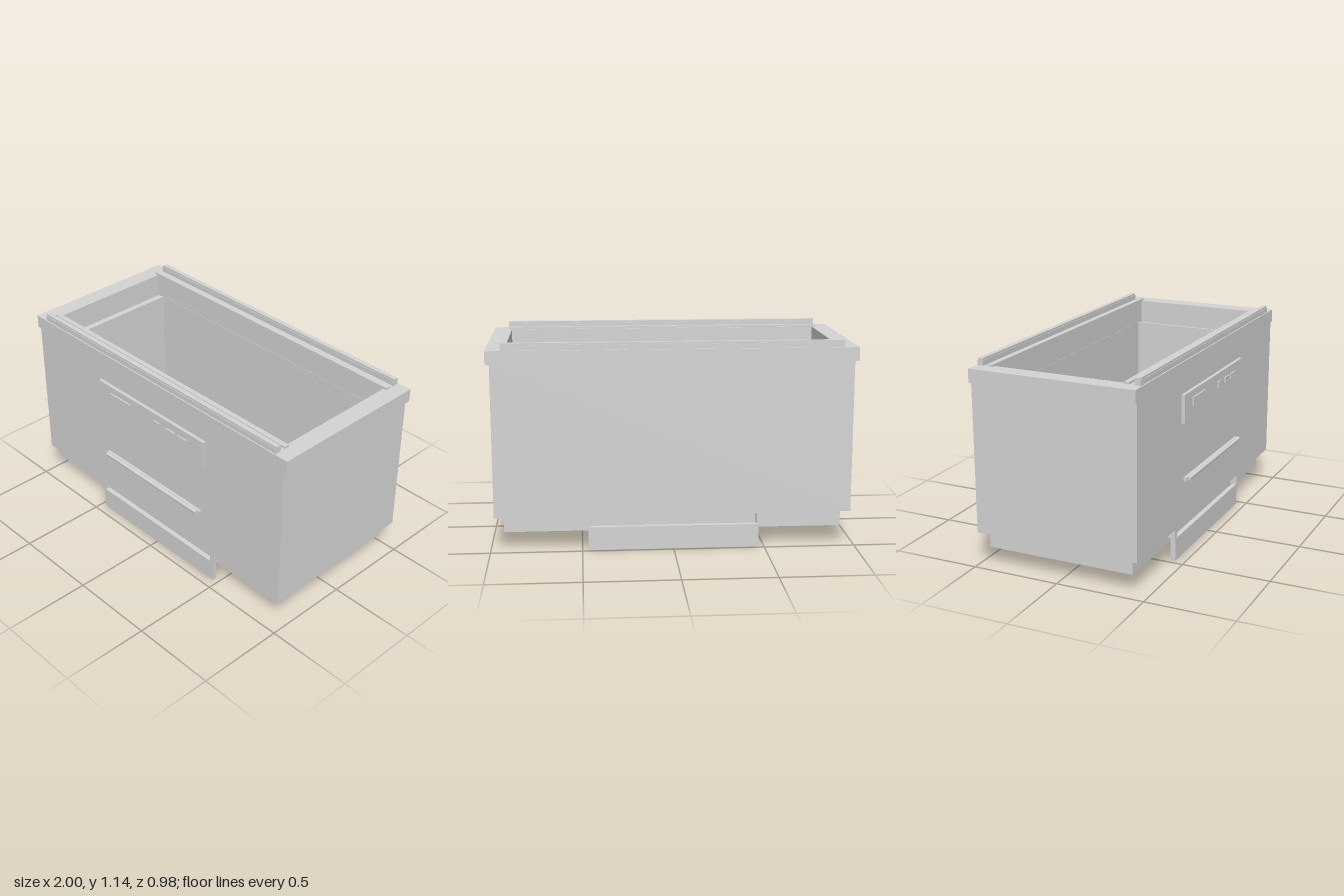
import * as THREE from 'three';

const steel = new THREE.MeshStandardMaterial({ color: 0xd4d4d4 });
steel.name = 'light grey';

export function createModel() {
  const model = new THREE.Group();
  model.name = 'chestCabinet';

  const add = (name, geometry) => {
    const mesh = new THREE.Mesh(geometry, steel);
    mesh.name = name;
    model.add(mesh);
    return mesh;
  };

  // Box given by its limits on each axis
  const box = (name, x0, x1, y0, y1, z0, z1) =>
    add(name, new THREE.BoxGeometry(x1 - x0, y1 - y0, z1 - z0))
      .position.set((x0 + x1) / 2, (y0 + y1) / 2, (z0 + z1) / 2);

  // Upright rectangular tube; outer and inner are [x0, x1, z0, z1]
  const trace = (path, [x0, x1, z0, z1]) => {
    path.moveTo(x0, -z1);
    path.lineTo(x1, -z1);
    path.lineTo(x1, -z0);
    path.lineTo(x0, -z0);
    path.closePath();
    return path;
  };
  const frame = (name, outer, inner, y0, y1) => {
    const shape = trace(new THREE.Shape(), outer);
    shape.holes.push(trace(new THREE.Path(), inner));
    const geometry = new THREE.ExtrudeGeometry(shape, { depth: y1 - y0, bevelEnabled: false });
    geometry.rotateX(-Math.PI / 2).translate(0, y0, 0);
    add(name, geometry);
  };

  // Cabinet shell, collar and stepped interior
  const opening = [-0.899, 0.898, -0.395, 0.35];
  const linerOuter = [-0.864, 0.859, -0.393, 0.348];
  const linerInner = [-0.851, 0.846, -0.391, 0.346];
  frame('bodyWalls', [-0.977, 0.977, -0.489, 0.454], opening, 0.193, 1.031);
  frame('topCollar', [-1, 1, -0.49, 0.455], opening, 1.031, 1.106);
  frame('innerLedge', opening, linerOuter, 0.21, 0.967);
  frame('liner', linerOuter, linerInner, 0.21, 0.976);
  box('floor', -0.899, 0.898, 0.193, 0.23, -0.395, 0.35);
  box('floorBar', -0.357, 0.356, 0.23, 0.25, -0.022, 0.01);

  // Recessed plinth
  box('plinth', -0.929, 0.927, 0.1, 0.193, -0.443, 0.406);

  // Sliding rails along both long edges: tall outer with slimmer crown, low inner
  for (const [side, outer, inner] of [['front', 0.431, 0.37], ['back', -0.465, -0.405]]) {
    box(side + 'OuterRail', -0.92, 0.918, 1.106, 1.134, outer - 0.017, outer + 0.017);
    box(side + 'RailCrown', -0.92, 0.918, 1.134, 1.145, outer - 0.014, outer + 0.014);
    box(side + 'InnerRail', -0.92, 0.918, 1.106, 1.118, inner - 0.014, inner + 0.014);
  }

  // Skid plates hung from brackets, front and back
  for (const [side, z] of [['front', 0.431], ['back', -0.466]]) {
    box(side + 'Skid', -0.47, 0.467, 0, 0.128, z - 0.014, z + 0.014);
    for (const x of [-0.471, 0.468]) {
      box(side + 'SkidBracket', x - 0.015, x + 0.015, 0.134, 0.193, z - 0.024, z + 0.018);
      box(side + 'SkidPin', x - 0.006, x + 0.006, 0.12, 0.14, z - 0.01, z + 0.01);
    }
  }

  // Control panel with display and buttons
  box('controlPanel', -0.427, 0.424, 0.773, 0.933, 0.454, 0.473);
  const controls = [
    ['display', -0.325, -0.153, 0.846, 0.894],
    ['powerButton', 0.04, 0.083, 0.85, 0.889],
    ['leftButton', 0.141, 0.206, 0.853, 0.887],
    ['rightButton', 0.231, 0.3, 0.853, 0.887],
  ];
  for (const [name, x0, x1, y0, y1] of controls) box(name, x0, x1, y0, y1, 0.473, 0.481);

  // Front handle: mounting strip and round bar
  box('handleMount', -0.39, 0.388, 0.436, 0.458, 0.454, 0.472);
  const bar = add('handleBar', new THREE.CylinderGeometry(0.011, 0.011, 0.757, 24));
  bar.rotation.z = Math.PI / 2;
  bar.position.set(0, 0.452, 0.48);

  return model;
}
